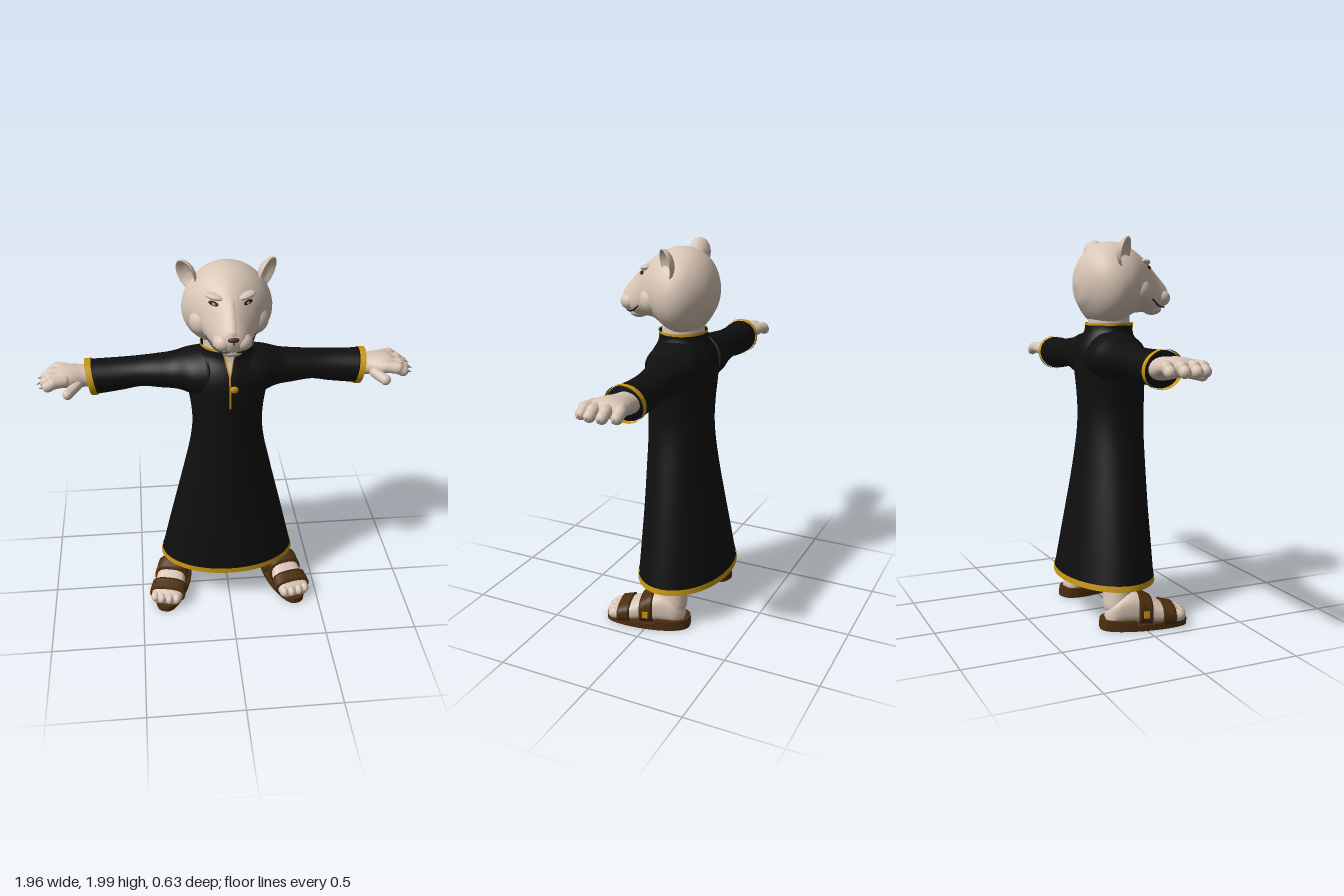
import * as THREE from 'three';

const V = (x, y, z) => new THREE.Vector3(x, y, z);
const mat = (name, color, side = THREE.FrontSide) => {
  const m = new THREE.MeshStandardMaterial({ color, side });
  m.name = name;
  return m;
};

// Smooth lookup through rows of [t, a, b, ...]
const table = rows => {
  const it = new THREE.CubicInterpolant(rows.map(r => r[0]), rows.flatMap(r => r.slice(1)), rows[0].length - 1);
  return t => [...it.evaluate(t)];
};

// Skin over rings: point(t, cos, sin) gives each ring for t in t0..t1
function loft(point, t0, t1, steps, cap = true, n = 40) {
  const pos = [], idx = [], centre = V(0, 0, 0);
  for (let i = 0; i <= steps; i++) for (let j = 0; j < n; j++) {
    const a = j / n * Math.PI * 2, p = point(t0 + (t1 - t0) * i / steps, Math.cos(a), Math.sin(a));
    pos.push(p);
    centre.add(p);
  }
  centre.divideScalar(pos.length);
  for (let i = 0; i < steps; i++) for (let j = 0; j < n; j++) {
    const a = i * n + j, b = i * n + (j + 1) % n;
    idx.push(a, b, a + n, b, b + n, a + n);
  }
  if (cap) for (const s of [0, steps]) {
    const c = V(0, 0, 0), k = pos.length;
    for (let j = 0; j < n; j++) c.addScaledVector(pos[s * n + j], 1 / n);
    pos.push(c);
    for (let j = 0; j < n; j++) {
      const a = s * n + j, b = s * n + (j + 1) % n;
      s ? idx.push(a, b, k) : idx.push(b, a, k);
    }
  }
  // Turn all faces outward
  let sum = 0;
  for (let i = 0; i < idx.length; i += 3) {
    const [a, b, c] = [0, 1, 2].map(k => pos[idx[i + k]].clone().sub(centre));
    sum += a.dot(b.cross(c));
  }
  if (sum < 0) idx.reverse();
  const g = new THREE.BufferGeometry().setFromPoints(pos).setIndex(idx);
  g.computeVertexNormals();
  return g;
}

// Rounded rod between two points
function limb(a, b, r) {
  const d = b.clone().sub(a), g = new THREE.CapsuleGeometry(r, d.length(), 6, 16);
  g.applyQuaternion(new THREE.Quaternion().setFromUnitVectors(V(0, 1, 0), d.clone().normalize()));
  const m = a.clone().add(b).multiplyScalar(0.5);
  return g.translate(m.x, m.y, m.z);
}

const blob = (c, r, rx = 0, ry = 0, rz = 0) => new THREE.SphereGeometry(1, 24, 16)
  .scale(...r).rotateX(rx).rotateZ(rz).rotateY(ry).translate(...c);
const wire = (pts, r) => new THREE.TubeGeometry(new THREE.CatmullRomCurve3(pts), 20, r, 6);

function mirrored(geo) {
  const g = geo.clone().scale(-1, 1, 1);
  const id = g.index ? [...g.index.array] : [...Array(g.attributes.position.count).keys()];
  for (let i = 0; i < id.length; i += 3) [id[i], id[i + 1]] = [id[i + 1], id[i]];
  g.setIndex(id);
  g.computeVertexNormals();
  return g;
}

export function createModel() {
  const model = new THREE.Group();
  const fur = mat('cream fur', 0xd8c5b5), cloth = mat('black cloth', 0x0f0f0f, THREE.DoubleSide);
  const gold = mat('gold trim', 0xc8960f, THREE.DoubleSide), leather = mat('brown leather', 0x4d2f0f);
  const dark = mat('dark lines', 0x1c1714), nose = mat('nose brown', 0x4a3324);
  const iris = mat('pale iris', 0xa8a08c), claw = mat('claw grey', 0x8f8577);
  const add = (name, geo, m) => {
    const mesh = new THREE.Mesh(geo, m);
    mesh.name = name;
    model.add(mesh);
  };
  const pair = (name, geo, m) => {
    add(name + 'Left', geo, m);
    add(name + 'Right', mirrored(geo), m);
  };

  // Robe: height, half width, back z, front z
  const robe = table([[0.21, 0.375, -0.31, 0.18], [0.4, 0.332, -0.28, 0.17], [0.6, 0.285, -0.248, 0.16],
    [0.8, 0.238, -0.218, 0.155], [1, 0.195, -0.197, 0.152], [1.1, 0.185, -0.195, 0.155], [1.2, 0.19, -0.2, 0.157],
    [1.3, 0.205, -0.208, 0.155], [1.39, 0.212, -0.21, 0.143], [1.45, 0.195, -0.195, 0.12],
    [1.49, 0.155, -0.17, 0.098], [1.51, 0.138, -0.158, 0.092], [1.555, 0.135, -0.15, 0.09]]);
  const robePoint = grow => (y, c, s) => {
    const [rx, b, f] = robe(y);
    return V((rx + grow) * c, y, (b + f) / 2 + ((f - b) / 2 + grow) * s);
  };
  add('robe', loft(robePoint(0), 0.21, 1.555, 70, false, 64), cloth);
  add('hemTrim', loft(robePoint(0.004), 0.205, 0.235, 2, false, 64), gold);
  add('collarTrim', loft(robePoint(0.003), 1.545, 1.558, 2, false, 64), gold);

  // Neck opening, placket and button
  const frontZ = y => robe(y)[2];
  const opening = new THREE.PlaneGeometry(2, 1, 4, 10), p = opening.attributes.position;
  for (let i = 0; i < p.count; i++) {
    const v = p.getY(i) + 0.5, y = 1.42 + 0.138 * v;
    p.setXYZ(i, p.getX(i) * 0.032 * v, y, frontZ(y) + 0.006);
  }
  opening.computeVertexNormals();
  add('neckOpening', opening, fur);
  const edge = [0, 0.25, 0.5, 0.75, 1].map(v => V(0.032 * v, 1.42 + 0.136 * v, frontZ(1.42 + 0.136 * v) + 0.004));
  pair('openingTrim', wire(edge, 0.004), gold);
  add('placketTrim', wire([1.26, 1.3, 1.34, 1.38, 1.42].map(y => V(0, y, frontZ(y))), 0.005), gold);
  add('button', blob([0.02, 1.365, frontZ(1.365) + 0.003], [0.021, 0.019, 0.009]), gold);

  // Sleeves and hands: x, bottom, top, back, front
  const acrossX = (rows, grow = 0) => {
    const at = table(rows);
    return (x, c, s) => {
      const [b, t, k, f] = at(x), y = (b + t) / 2 + ((t - b) / 2 + grow) * s;
      return V(x + (y - 1.36) * 0.17, y, (k + f) / 2 + ((f - k) / 2 + grow) * c);
    };
  };
  const sleeve = [[0.08, 1.24, 1.522, -0.2, 0.12], [0.18, 1.262, 1.5, -0.205, 0.1], [0.26, 1.285, 1.475, -0.187, 0.05],
    [0.35, 1.295, 1.465, -0.175, 0.03], [0.45, 1.303, 1.455, -0.172, 0.015], [0.55, 1.287, 1.452, -0.17, 0.015],
    [0.7, 1.272, 1.453, -0.163, 0.028]];
  pair('sleeve', loft(acrossX(sleeve), 0.08, 0.69, 30), cloth);
  pair('cuff', loft(acrossX(sleeve, 0.005), 0.68, 0.712, 2, false), gold);
  pair('palm', loft(acrossX([[0.66, 1.31, 1.42, -0.14, -0.01], [0.73, 1.315, 1.425, -0.14, 0], [0.8, 1.33, 1.43, -0.15, 0.035],
    [0.85, 1.338, 1.423, -0.155, 0.045], [0.89, 1.35, 1.4, -0.12, 0.02]]), 0.66, 0.89, 16), fur);
  [[-0.12, -0.14, 0.905], [-0.075, -0.08, 0.93], [-0.02, -0.018, 0.93], [0.015, 0.032, 0.915]].forEach(([z0, z1, x]) => {
    pair('finger', limb(V(0.83, 1.387, z0), V(x - 0.03, 1.385, z1), 0.031), fur);
    pair('fingertip', limb(V(x - 0.03, 1.383, z1), V(x, 1.367, z1), 0.028), fur);
    pair('claw', new THREE.ConeGeometry(0.008, 0.03, 8).rotateZ(-1.9).translate(x + 0.034, 1.362, z1), claw);
  });
  pair('thumb', limb(V(0.77, 1.355, 0.01), V(0.815, 1.34, 0.073), 0.027), fur);

  // Head: z, half width, bottom, top, narrowing toward the top
  const head = table([[-0.217, 0.012, 1.75, 1.77, 0], [-0.205, 0.07, 1.685, 1.83, 0], [-0.18, 0.125, 1.635, 1.888, 0.02],
    [-0.13, 0.188, 1.57, 1.945, 0.05], [-0.07, 0.222, 1.54, 1.972, 0.08], [0, 0.222, 1.55, 1.975, 0.08],
    [0.05, 0.203, 1.58, 1.962, 0.08], [0.1, 0.172, 1.605, 1.935, 0.1], [0.15, 0.137, 1.61, 1.9, 0.15],
    [0.19, 0.112, 1.61, 1.862, 0.25], [0.23, 0.09, 1.617, 1.82, 0.3], [0.27, 0.07, 1.635, 1.775, 0.25],
    [0.3, 0.04, 1.66, 1.738, 0.1], [0.308, 0.01, 1.69, 1.71, 0]]);
  add('head', loft((z, c, s) => {
    const [rx, b, t, k] = head(z);
    return V(rx * c * (1 - k * s), (b + t) / 2 + (t - b) / 2 * s, z);
  }, -0.217, 0.308, 60, true, 48), fur);
  add('neck', new THREE.CylinderGeometry(0.12, 0.125, 0.16, 32).scale(1, 1, 0.88).translate(0, 1.55, -0.03), fur);
  add('chin', blob([0, 1.628, 0.222], [0.058, 0.033, 0.05]), fur);
  add('noseBridge', limb(V(0, 1.84, 0.175), V(0, 1.735, 0.272), 0.03), fur);
  pair('muzzlePad', blob([0.045, 1.685, 0.25], [0.05, 0.045, 0.055]), fur);
  pair('brow', blob([0.075, 1.87, 0.142], [0.052, 0.016, 0.03], 0, 0.45, 0.15), fur);
  pair('cheek', blob([0.12, 1.72, 0.08], [0.075, 0.075, 0.07]), fur);
  pair('eye', blob([0.08, 1.842, 0.163], [0.03, 0.011, 0.011], 0, 0.6, 0.15), dark);
  pair('iris', blob([0.081, 1.842, 0.17], [0.012, 0.007, 0.007], 0, 0.6, 0.15), iris);
  add('nose', blob([0, 1.713, 0.296], [0.03, 0.016, 0.016], -0.4), nose);
  add('philtrum', wire([V(0, 1.705, 0.308), V(0, 1.68, 0.301), V(0, 1.652, 0.287)], 0.004), dark);
  pair('mouth', wire([V(0, 1.652, 0.287), V(0.04, 1.638, 0.276), V(0.09, 1.645, 0.22), V(0.121, 1.683, 0.165)], 0.004), dark);

  // Cupped ears
  const bowl = [[0, -0.028], [0.035, -0.022], [0.056, -0.004], [0.062, 0.014], [0.056, 0.016], [0.045, 0], [0.025, -0.01], [0, -0.013]];
  pair('ear', new THREE.LatheGeometry(bowl.map(q => new THREE.Vector2(...q)), 32)
    .rotateX(Math.PI / 2).scale(1, 1.28, 1).rotateY(0.85).rotateZ(-0.3).translate(0.192, 1.92, -0.035), fur);

  // Legs
  pair('leg', limb(V(0.275, 0.12, -0.1), V(0.14, 0.8, -0.05), 0.078), fur);

  // Feet and sandals, built straight and then turned outward
  const foot = (name, geo, m) => pair(name, geo.rotateY(0.24).translate(0.325, 0, 0.02), m);
  const shape = table([[-0.2, 0.03, 0.08], [-0.17, 0.062, 0.13], [-0.1, 0.075, 0.18], [-0.03, 0.078, 0.178],
    [0.04, 0.082, 0.143], [0.1, 0.087, 0.116], [0.17, 0.086, 0.094], [0.2, 0.07, 0.075]]);
  const soft = v => Math.sign(v) * Math.abs(v) ** 0.75;
  const footPoint = grow => (z, c, s) => {
    const [rx, top] = shape(z), h = (top - 0.025) / 2;
    return V((rx + grow) * soft(c), 0.025 + h + (h + grow) * soft(s), z);
  };
  foot('foot', loft(footPoint(0), -0.2, 0.2, 24), fur);
  for (const x of [-0.062, -0.022, 0.022, 0.062])
    foot('toe', blob([x, 0.06, 0.19 - Math.abs(x) * 0.25], [0.025, 0.03, 0.036]), fur);
  foot('frontStrap', loft(footPoint(0.012), 0.09, 0.155, 6), leather);
  foot('instepStrap', loft(footPoint(0.012), -0.035, 0.035, 6), leather);
  foot('buckle', new THREE.BoxGeometry(0.012, 0.035, 0.03).translate(0.091, 0.085, 0), gold);
  const slab = (height, limit) => {
    const pts = [];
    for (let i = 0; i < 40; i++) {
      const a = i / 40 * Math.PI * 2, s = Math.sin(a);
      pts.push(new THREE.Vector2(soft(Math.cos(a)) * (0.094 - 0.012 * s), Math.max(-0.23 * s, -limit)));
    }
    return new THREE.ExtrudeGeometry(new THREE.Shape(pts), { depth: height, bevelEnabled: false }).rotateX(-Math.PI / 2);
  };
  foot('sole', slab(0.032, 0.23), leather);
  foot('heel', slab(0.052, -0.05).scale(0.99, 1, 0.99), leather);
  return model;
}
